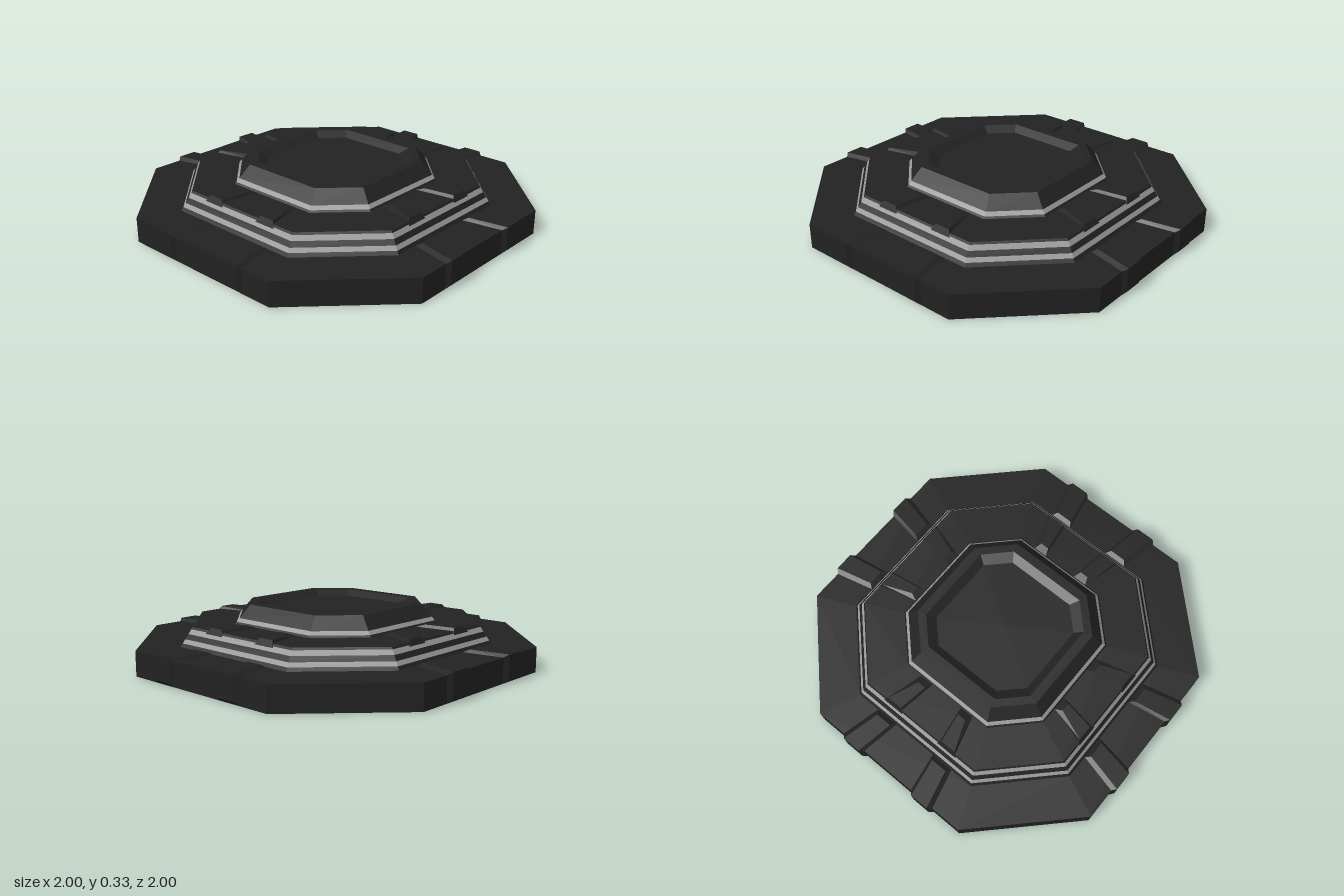
import * as THREE from 'three';

const material = (color) => new THREE.MeshStandardMaterial({
  color, flatShading: true, roughness: 0.8, side: THREE.DoubleSide,
});
const dark = material(0x222222);
const light = material(0x999999);

// Joins cross-sections of equal length with quads; closed sections wrap round
function loft(sections, closed, caps = false) {
  const n = sections[0].length;
  const pos = sections.flat(2);
  const index = [];
  for (let s = 0; s < sections.length - 1; s++) {
    for (let k = 0; k < (closed ? n : n - 1); k++) {
      const a = s * n + k, b = s * n + (k + 1) % n;
      index.push(a, b, b + n, a, b + n, a + n);
    }
  }
  if (caps) {
    const e = (sections.length - 1) * n;
    index.push(0, 3, 2, 0, 2, 1, e, e + 1, e + 2, e, e + 2, e + 3);
  }
  const geo = new THREE.BufferGeometry();
  geo.setAttribute('position', new THREE.Float32BufferAttribute(pos, 3));
  geo.setIndex(index);
  const flat = geo.toNonIndexed();
  flat.computeVertexNormals();
  return flat;
}

// Octagon with flats at distance a and corners at c, at height y
const octagon = ([a, c, y]) => [
  [a, c], [a, -c], [c, -a], [-c, -a], [-a, -c], [-a, c], [-c, a], [c, a],
].map(([x, z]) => [x, y, z]);

function addRings(parent, name, rings, mat) {
  const mesh = new THREE.Mesh(loft(rings.map(octagon), true), mat);
  mesh.name = name;
  parent.add(mesh);
}

// Sloped octagonal wall, split at given heights into dark and light bands
function addSlope(parent, name, low, high, heights) {
  const at = (y) => {
    const t = (y - low[2]) / (high[2] - low[2]);
    return low.map((v, i) => v + (high[i] - v) * t);
  };
  const ys = [low[2], ...heights, high[2]];
  for (let i = 0; i < ys.length - 1; i++) {
    const lit = i % 2 === 1;
    addRings(parent, name + (lit ? 'LightBand' : 'Wall'), [at(ys[i]), at(ys[i + 1])], lit ? light : dark);
  }
}

// Rib stations: [base z, base y, crest z, crest y, inner x, outer x, bevel]
const ribGeometry = (stations) => loft(stations.map(([bz, by, cz, cy, xi, xo, b]) => [
  [xi, by, bz], [xi + b, cy, cz], [xo - b, cy, cz], [xo, by, bz],
]), false, true);

export function createModel() {
  const model = new THREE.Group();
  model.name = 'steppedPlatform';

  // Lower tier: upright wall and shelf, open underneath
  addRings(model, 'lowerTier', [[0.98, 0.49, 0], [0.98, 0.49, 0.135], [0.765, 0.395, 0.135]], dark);

  // Middle tier with two light bands
  addSlope(model, 'middleTier', [0.765, 0.395, 0.135], [0.70, 0.37, 0.235], [0.153, 0.174, 0.2, 0.224]);
  addRings(model, 'middleShelf', [[0.70, 0.37, 0.235], [0.49, 0.275, 0.235]], dark);

  // Upper tier with one light band
  addSlope(model, 'upperTier', [0.49, 0.275, 0.235], [0.41, 0.24, 0.333], [0.245, 0.264]);

  // Top rim and shallow recessed floor
  addRings(model, 'topRecess', [
    [0.41, 0.24, 0.333], [0.36, 0.23, 0.333], [0.315, 0.2, 0.303], [0, 0, 0.303],
  ], dark);

  // Raised radial ribs, a mirrored pair per tier on each of four sides
  const lowerRib = ribGeometry([
    [0.98, 0, 1, 0.02, 0.165, 0.315, 0.022],
    [0.98, 0.135, 1, 0.15, 0.165, 0.315, 0.022],
    [0.765, 0.135, 0.79, 0.15, 0.13, 0.262, 0.02],
  ]);
  const middleRib = ribGeometry([
    [0.712, 0.217, 0.695, 0.25, 0.122, 0.25, 0.02],
    [0.49, 0.235, 0.53, 0.25, 0.1, 0.18, 0.016],
  ]);
  for (let side = 0; side < 4; side++) {
    const ribs = new THREE.Group();
    ribs.name = 'sideRibs';
    ribs.rotation.y = side * Math.PI / 2;
    for (const mirror of [1, -1]) {
      for (const [name, geo] of [['lowerRib', lowerRib], ['middleRib', middleRib]]) {
        const rib = new THREE.Mesh(geo, dark);
        rib.name = name;
        rib.scale.x = mirror;
        ribs.add(rib);
      }
    }
    model.add(ribs);
  }
  return model;
}
